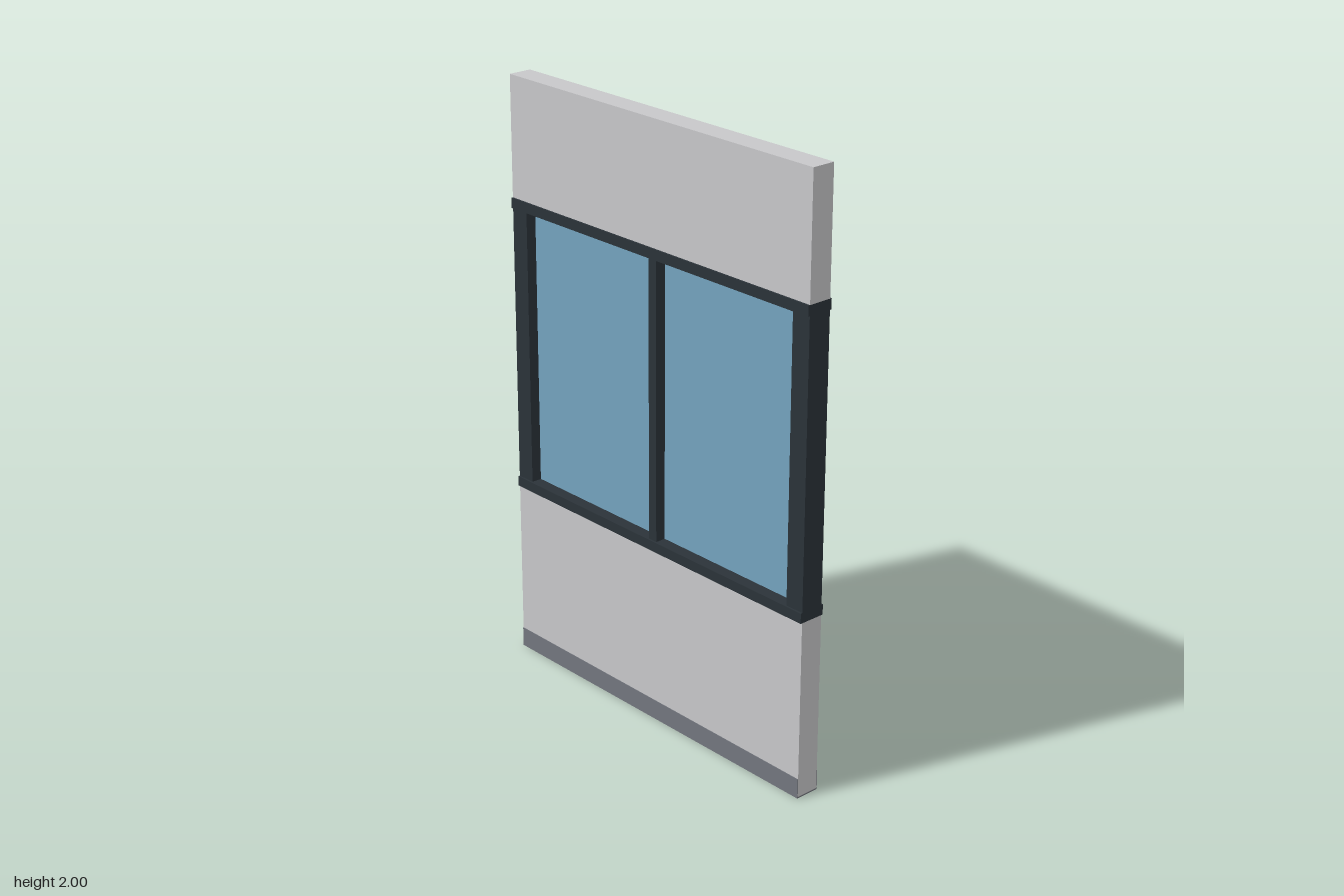
import * as THREE from 'three';

export function createModel() {
  const group = new THREE.Group();
  const mat = (name, color) => {
    const m = new THREE.MeshStandardMaterial({ color });
    m.name = name;
    return m;
  };
  const wall = mat('wall grey', 0xc8c8ca);
  const frame = mat('frame charcoal', 0x2b3339);
  const glass = mat('glass blue', 0x74a3be);
  const skirting = mat('skirting grey', 0x73767e);

  // Box spanning x0..x1 and y0..y1, with depth d centred on z
  const box = (name, material, x0, x1, y0, y1, d, z = 0) => {
    const mesh = new THREE.Mesh(new THREE.BoxGeometry(x1 - x0, y1 - y0, d), material);
    mesh.name = name;
    mesh.position.set((x0 + x1) / 2, (y0 + y1) / 2, z);
    group.add(mesh);
  };

  const W = 0.665, D = 0.08;
  const sill = 0.6, head = 1.6, rail = 0.034, post = 0.067, mullion = 0.017;

  // Solid wall below and above the window
  box('lowerWall', wall, -W, W, 0.004, sill, D);
  box('upperWall', wall, -W, W, head, 2, D);

  // Skirting on both faces and the underside
  box('basePlate', skirting, -W, W, 0, 0.004, D);
  for (const s of [1, -1]) {
    box(s > 0 ? 'frontSkirting' : 'backSkirting', skirting, -W, W, 0, 0.067, 0.002, s * (D / 2 + 0.001));
  }

  // Window frame: rails stand slightly proud of the wall
  box('bottomRail', frame, -W, W, sill, sill + rail, 0.092);
  box('topRail', frame, -W, W, head - rail, head, 0.092);
  box('rightPost', frame, -W, -W + post, sill + rail, head - rail, D);
  box('leftPost', frame, W - post, W, sill + rail, head - rail, D);
  box('mullion', frame, -mullion, mullion, sill + rail, head - rail, D);

  // Two panes in the middle of the frame depth
  box('rightPane', glass, -W + post, -mullion, sill + rail, head - rail, 0.009);
  box('leftPane', glass, mullion, W - post, sill + rail, head - rail, 0.009);

  return group;
}
